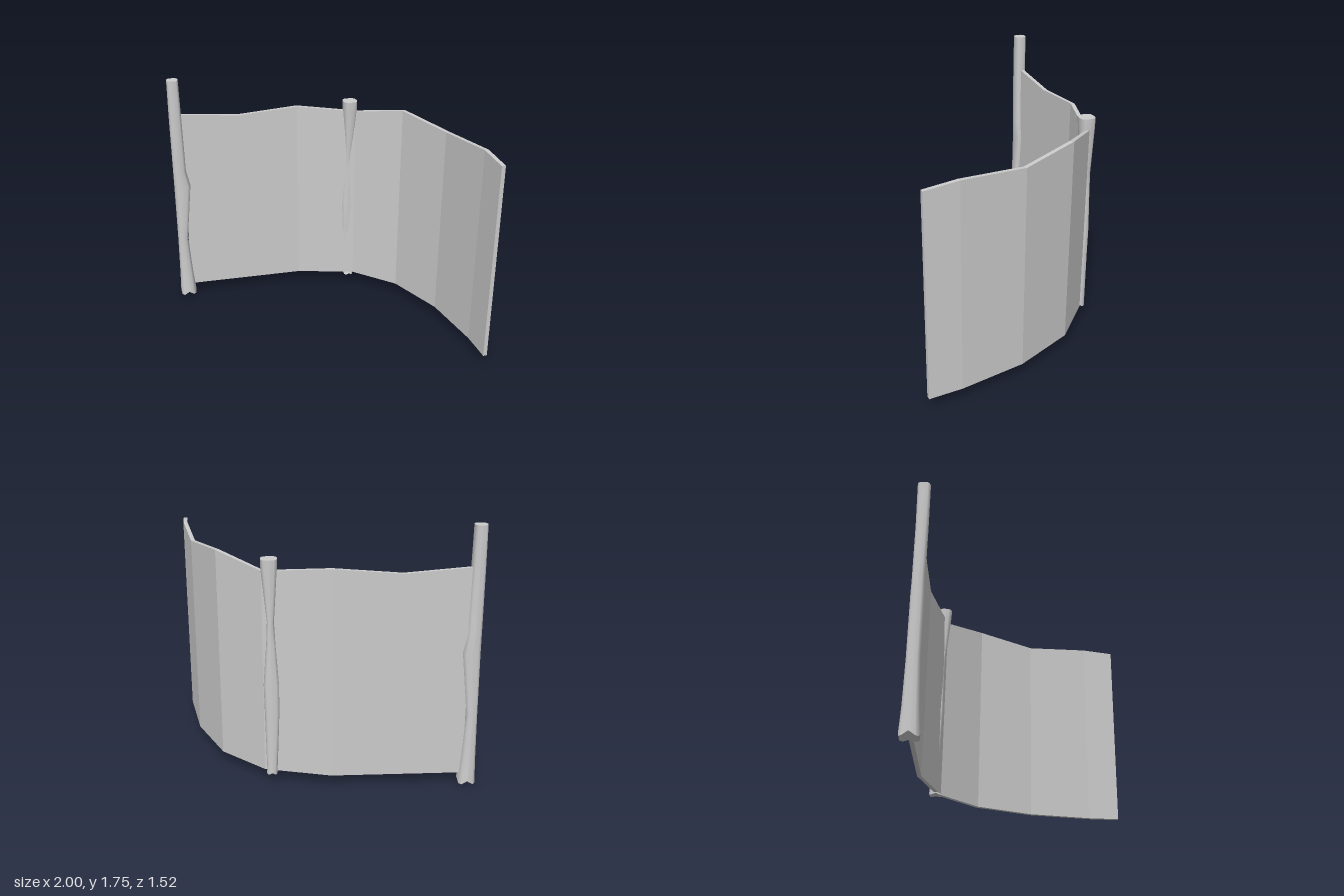
import * as THREE from 'three';

const grey = (flatShading) => new THREE.MeshStandardMaterial({ color: 0xcccccc, flatShading });

// Curved panel: a segmented box bent along a path of [x, z, top height]
function makePanel(path, thickness, bottom) {
  const n = path.length - 1;
  const geo = new THREE.BoxGeometry(1, 1, 1, n, 1, 1);
  const pos = geo.attributes.position;
  const normalOf = (i) => {
    const a = path[i], b = path[i + 1];
    return new THREE.Vector2(a[1] - b[1], b[0] - a[0]).normalize();
  };
  for (let v = 0; v < pos.count; v++) {
    const i = Math.round((pos.getX(v) + 0.5) * n);
    const n0 = normalOf(Math.max(i - 1, 0));
    const dir = n0.clone().add(normalOf(Math.min(i, n - 1))).normalize();
    const off = pos.getZ(v) * thickness / dir.dot(n0); // mitred offset
    const [x, z, top] = path[i];
    pos.setXYZ(v, x + dir.x * off, pos.getY(v) > 0 ? top : bottom, z + dir.y * off);
  }
  geo.computeVertexNormals();
  return new THREE.Mesh(geo, grey(true));
}

// Rough post: a cylinder fitted to rings of [y, xMin, xMax, zMin, zMax], top first
function makePost(rings, jag) {
  const n = rings.length - 1;
  const geo = new THREE.CylinderGeometry(1, 1, 1, 12, n, false, Math.PI);
  const pos = geo.attributes.position;
  const squarish = (c) => Math.sign(c) * Math.pow(Math.abs(c), 0.7);
  for (let v = 0; v < pos.count; v++) {
    const cx = pos.getX(v), cz = pos.getZ(v);
    const row = Math.round((0.5 - pos.getY(v)) * n);
    const [y, x0, x1, z0, z1] = rings[row];
    const rim = Math.hypot(cx, cz) > 0.5;
    // uneven foot
    const wave = row === n && rim ? jag * (0.5 + 0.5 * Math.cos(4 * Math.atan2(cz, cx))) : 0;
    pos.setXYZ(v,
      (x0 + x1) / 2 + squarish(cx) * (x1 - x0) / 2,
      y + wave,
      (z0 + z1) / 2 + squarish(cz) * (z1 - z0) / 2);
  }
  geo.computeVertexNormals();
  return new THREE.Mesh(geo, grey(false));
}

export function createModel() {
  const group = new THREE.Group();

  const panel = makePanel([
    [-0.91, -0.705, 1.49], [-0.48, -0.705, 1.455], [-0.04, -0.705, 1.49],
    [0.39, -0.595, 1.455], [0.68, -0.33, 1.525], [0.87, 0.075, 1.49],
    [0.965, 0.53, 1.525], [0.985, 0.76, 1.505],
  ], 0.028, 0.08);
  panel.name = 'curvedPanel';

  const endPost = makePost([
    [1.755, -0.985, -0.903, -0.738, -0.652],
    [1.45, -0.988, -0.898, -0.735, -0.652],
    [1.05, -0.988, -0.892, -0.738, -0.655],
    [0.93, -0.988, -0.866, -0.742, -0.655],
    [0.5, -0.99, -0.914, -0.742, -0.655],
    [0.2, -0.995, -0.895, -0.75, -0.645],
    [0.0, -1.0, -0.88, -0.76, -0.632],
  ], 0.035);
  endPost.name = 'endPost';

  const middlePost = makePost([
    [1.535, 0.293, 0.4, -0.664, -0.553],
    [1.46, 0.295, 0.398, -0.663, -0.558],
    [1.13, 0.32, 0.365, -0.658, -0.588],
    [0.98, 0.313, 0.372, -0.658, -0.592],
    [0.7, 0.292, 0.394, -0.66, -0.586],
    [0.5, 0.294, 0.39, -0.66, -0.592],
    [0.09, 0.314, 0.382, -0.662, -0.602],
    [0.06, 0.312, 0.386, -0.662, -0.57],
  ], 0.015);
  middlePost.name = 'middlePost';

  group.add(panel, endPost, middlePost);
  return group;
}
